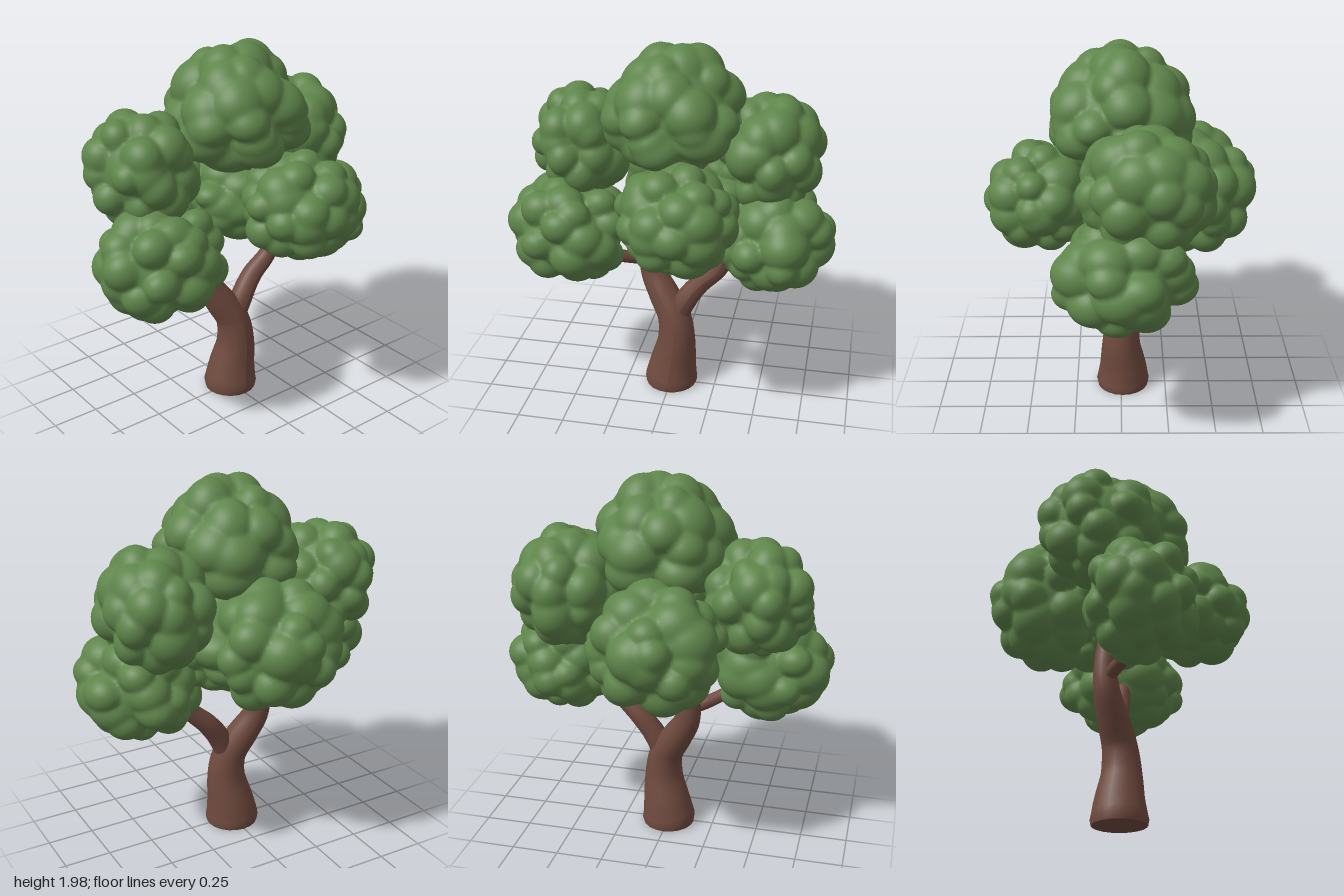
import * as THREE from 'three';
import { mergeVertices } from 'three/addons/utils/BufferGeometryUtils.js';

const bark = new THREE.MeshStandardMaterial({ color: 0x6f4a3e });
bark.name = 'bark brown';
const leaf = new THREE.MeshStandardMaterial({ color: 0x5f854b });
leaf.name = 'leaf green';

// Small seeded random generator
function makeRandom(seed) {
  let s = seed * 7919 + 17;
  return () => {
    s = (s * 16807) % 2147483647;
    return s / 2147483647;
  };
}

// Tapered limb through points [x, y, z, radius]
function limb(name, points, sides = 16) {
  const curve = new THREE.CatmullRomCurve3(points.map(p => new THREE.Vector3(p[0], p[1], p[2])));
  const rings = points.length * 5;
  const geo = new THREE.TubeGeometry(curve, rings, 1, sides, false);
  const pos = geo.attributes.position;
  const v = new THREE.Vector3();
  for (let i = 0; i <= rings; i++) {
    const u = i / rings;
    const t = curve.getUtoTmapping(u) * (points.length - 1);
    const k = Math.min(Math.floor(t), points.length - 2);
    const r = THREE.MathUtils.lerp(points[k][3], points[k + 1][3], t - k);
    const centre = curve.getPointAt(u);
    for (let j = 0; j <= sides; j++) {
      const n = i * (sides + 1) + j;
      v.fromBufferAttribute(pos, n).sub(centre).multiplyScalar(r).add(centre);
      pos.setXYZ(n, v.x, Math.max(0, v.y), v.z);
    }
  }
  geo.computeVertexNormals();
  const mesh = new THREE.Mesh(geo, bark);
  mesh.name = name;
  return mesh;
}

// Leaf clump: a ball pushed out to the softly blended surface of many puffs;
// taper narrows it towards the top
function clump(name, centre, size, seed, taper = 0) {
  const rand = makeRandom(seed);
  const count = 36;
  const puffs = [];
  for (let i = 0; i < count; i++) {
    const y = 1 - (2 * (i + 0.5)) / count;
    const a = i * 2.39996 + seed + (rand() - 0.5) * 0.7;
    const h = Math.sqrt(1 - y * y);
    const r = 0.25 + rand() * 0.17;
    const p = new THREE.Vector3(h * Math.cos(a), y + (rand() - 0.5) * 0.2, h * Math.sin(a));
    p.setLength(1.04 - r - rand() * 0.08);
    puffs.push({ p, r });
  }

  let geo = new THREE.IcosahedronGeometry(1, 22);
  geo.deleteAttribute('uv');
  geo.deleteAttribute('normal');
  geo = mergeVertices(geo);
  const pos = geo.attributes.position;
  const d = new THREE.Vector3();
  const sharpness = 60;
  for (let n = 0; n < pos.count; n++) {
    d.fromBufferAttribute(pos, n).normalize();
    let sum = Math.exp(sharpness * 0.78);
    for (const { p, r } of puffs) {
      const along = d.dot(p);
      const q = along * along - p.lengthSq() + r * r;
      if (along > 0 && q > 0) sum += Math.exp(sharpness * (along + Math.sqrt(q)));
    }
    d.multiplyScalar(Math.log(sum) / sharpness);
    const wide = 1 - taper * d.y;
    pos.setXYZ(n, d.x * wide * size[0], d.y * size[1], d.z * wide * size[2]);
  }
  geo.computeVertexNormals();
  const mesh = new THREE.Mesh(geo, leaf);
  mesh.name = name;
  mesh.position.set(...centre);
  return mesh;
}

export function createModel() {
  const tree = new THREE.Group();
  tree.name = 'tree';

  // Trunk, leaning and continuing up into the crown
  tree.add(limb('trunk', [
    [0, 0, -0.01, 0.142], [0, 0.03, -0.01, 0.148], [0.01, 0.12, -0.01, 0.132],
    [0.03, 0.28, 0, 0.105], [0.015, 0.42, -0.01, 0.092], [-0.05, 0.54, -0.04, 0.084],
    [-0.115, 0.66, -0.07, 0.07], [-0.13, 0.78, -0.08, 0.06], [-0.1, 1.0, -0.06, 0.055],
    [-0.03, 1.3, -0.03, 0.045], [0.02, 1.6, 0, 0.03]], 20));
  const base = new THREE.Mesh(new THREE.CircleGeometry(0.142, 20), bark);
  base.name = 'trunkBase';
  base.rotation.x = Math.PI / 2;
  base.position.set(0, 0.001, -0.01);
  tree.add(base);

  // Branches reaching into the clumps
  tree.add(limb('leftBranch', [
    [0.03, 0.24, -0.01, 0.03], [0.03, 0.4, -0.01, 0.06], [0.08, 0.53, -0.01, 0.062],
    [0.16, 0.64, -0.02, 0.056], [0.26, 0.74, -0.01, 0.048], [0.32, 0.86, 0, 0.043], [0.5, 1.02, 0, 0.03]]));
  tree.add(limb('rightBranch', [
    [-0.1, 0.725, -0.08, 0.03], [-0.2, 0.755, -0.03, 0.036],
    [-0.31, 0.8, 0.04, 0.033], [-0.48, 0.93, 0.1, 0.025]]));

  // Crown: leaf clumps [name, centre, half sizes, taper]
  const crown = new THREE.Group();
  crown.name = 'crown';
  const clumps = [
    ['topClump', [0.03, 1.655, 0], [0.38, 0.34, 0.385], 0.2],
    ['rightUpperClump', [-0.49, 1.4, -0.1], [0.29, 0.31, 0.32]],
    ['rightLowerClump', [-0.52, 0.97, 0.11], [0.35, 0.31, 0.3]],
    ['leftUpperClump', [0.5, 1.39, -0.12], [0.3, 0.33, 0.34]],
    ['leftLowerClump', [0.55, 0.97, -0.01], [0.32, 0.3, 0.36]],
    ['frontClump', [0.11, 1.21, 0.41], [0.31, 0.28, 0.3]],
    ['backClump', [-0.03, 1.19, -0.38], [0.36, 0.34, 0.33]],
    ['innerClump', [0.1, 1.15, -0.1], [0.36, 0.26, 0.35]],
  ];
  clumps.forEach(([name, centre, size, taper], i) => crown.add(clump(name, centre, size, i + 1, taper)));
  tree.add(crown);
  return tree;
}
